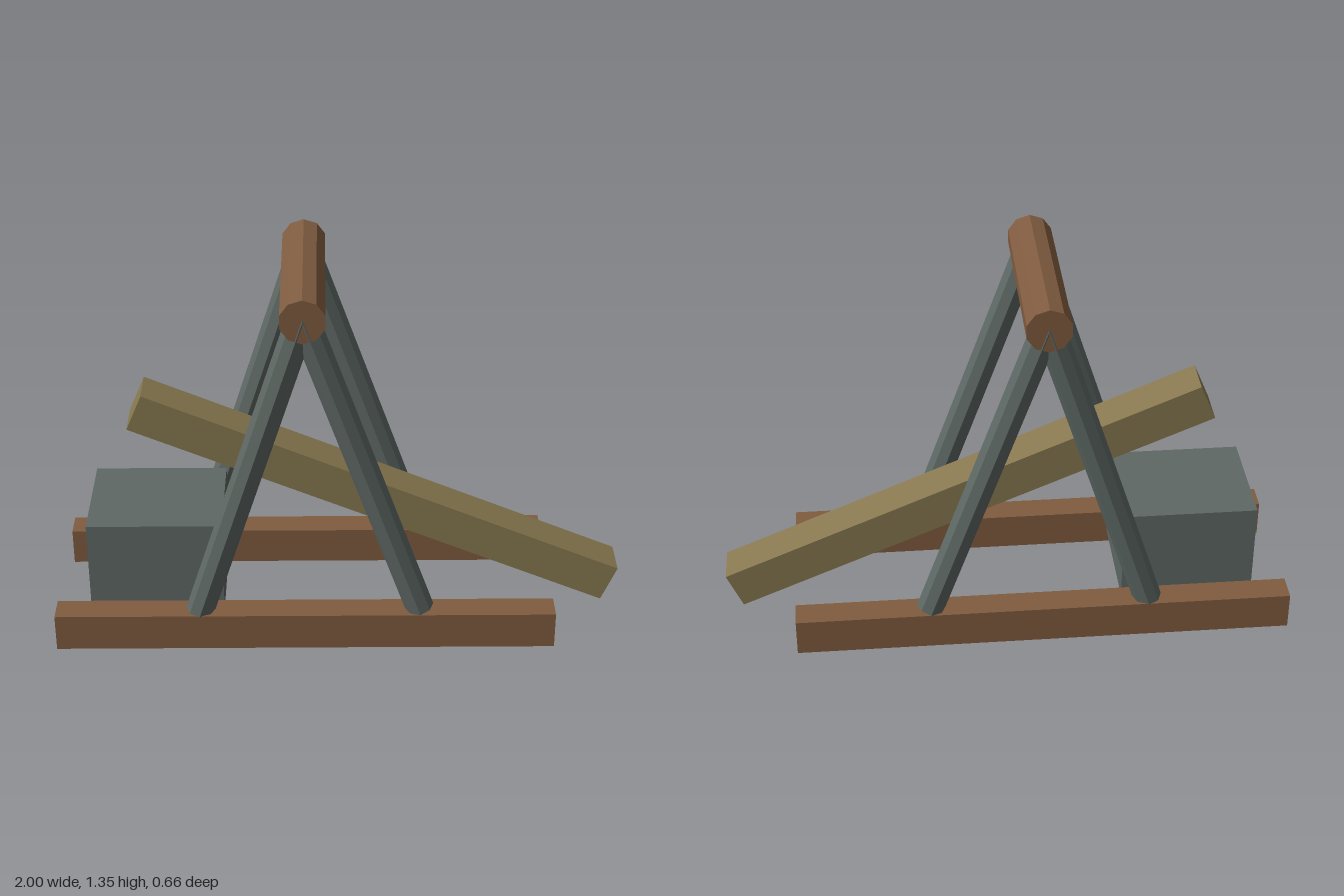
import * as THREE from 'three';

const material = (color) => new THREE.MeshStandardMaterial({ color, flatShading: true });

export function createModel() {
  const model = new THREE.Group();
  model.name = 'timberFrame';
  const brown = material(0x805c40);
  const slate = material(0x5e6864);
  const tan = material(0x877850);

  const add = (name, geometry, mat, x, y, z) => {
    const mesh = new THREE.Mesh(geometry, mat);
    mesh.name = name;
    mesh.position.set(x, y, z);
    model.add(mesh);
    return mesh;
  };

  // Ten-sided bar joining the two A-frames, one edge on top
  const apex = new THREE.Vector2(-0.125, 1.2725);
  const bar = new THREE.CylinderGeometry(0.078, 0.078, 0.655, 10).rotateX(Math.PI / 2);
  add('crossbar', bar, brown, apex.x, apex.y, 0);

  // Eight-sided leg from its foot on the rail up to the crossbar centre
  const addLeg = (name, footX, footY, z) => {
    const dx = apex.x - footX;
    const dy = apex.y - footY;
    const geometry = new THREE.CylinderGeometry(0.05, 0.05, Math.hypot(dx, dy), 8);
    const leg = add(name, geometry, slate, footX + dx / 2, footY + dy / 2, z);
    leg.rotation.z = -Math.atan2(dx, dy);
  };

  // Each side: a ground rail and a pair of legs
  for (const side of [1, -1]) {
    const label = side > 0 ? 'front' : 'back';
    add(label + 'Rail', new THREE.BoxGeometry(1.75, 0.135, 0.1), brown, -0.125, 0.0675, side * 0.278);
    addLeg(label + 'RightLeg', -0.495, 0.128, side * 0.279);
    addLeg(label + 'LeftLeg', 0.276, 0.136, side * 0.279);
  }

  // Block hung between the rails
  add('counterweight', new THREE.BoxGeometry(0.472, 0.35, 0.4), slate, -0.65, 0.25, 0);

  // Sloping beam through the frame
  const beam = add('beam', new THREE.BoxGeometry(1.827, 0.141, 0.145), tan, 0.13, 0.448, 0);
  beam.rotation.z = -0.401;

  return model;
}
